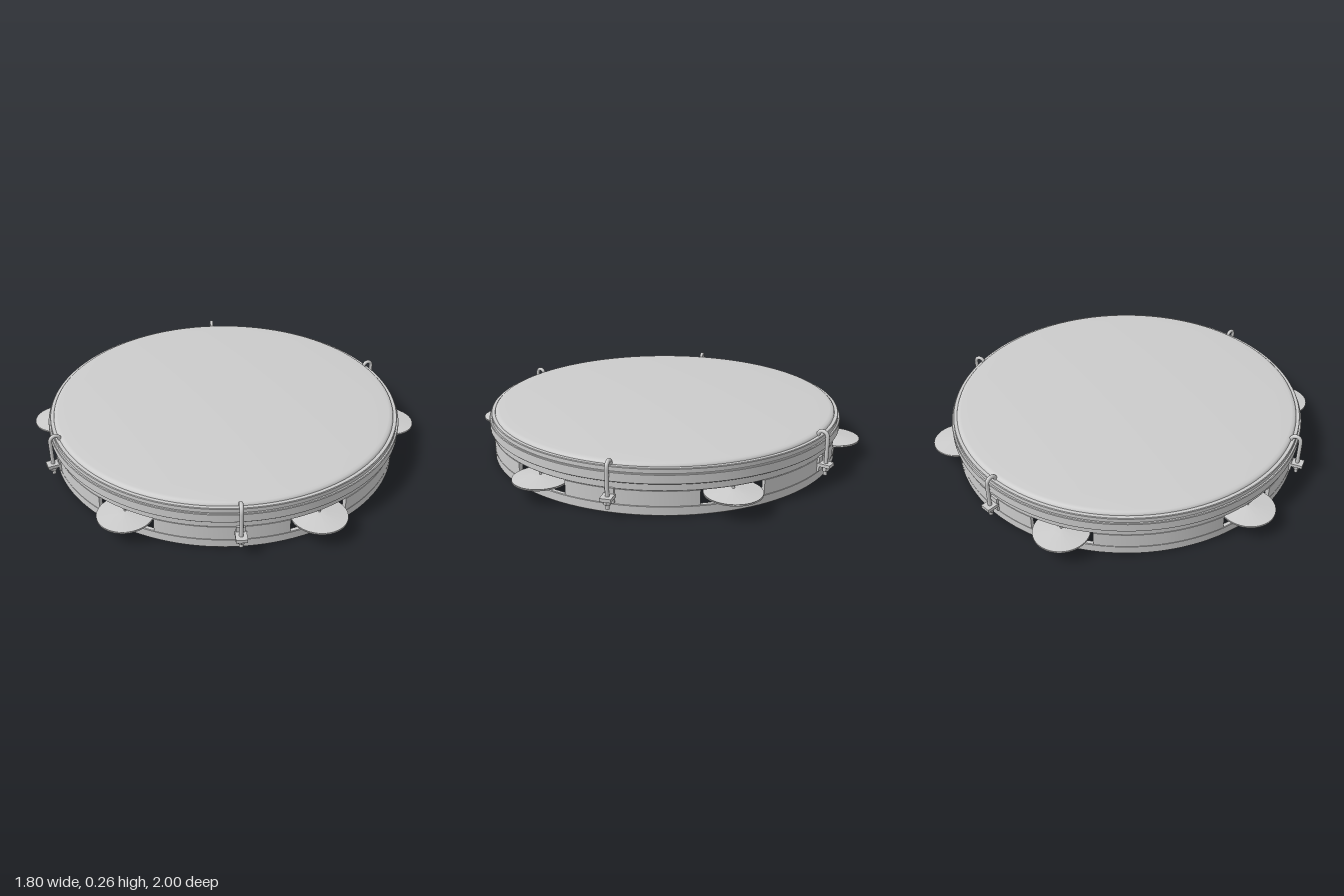
import * as THREE from 'three';
import { toCreasedNormals } from 'three/addons/utils/BufferGeometryUtils.js';

const grey = new THREE.MeshStandardMaterial({ color: 0xcccccc });
const greyDouble = new THREE.MeshStandardMaterial({ color: 0xcccccc, side: THREE.DoubleSide });
const SEGMENTS = 128;
const OUTER = 0.88, INNER = 0.86;
const SLOT_LOW = 0.045, SLOT_HIGH = 0.115, SLOT_HALF_ANGLE = 0.171;
const rad = THREE.MathUtils.degToRad;

function add(parent, name, geometry, x = 0, y = 0, z = 0, material = grey) {
  const mesh = new THREE.Mesh(geometry, material);
  mesh.name = name;
  mesh.position.set(x, y, z);
  parent.add(mesh);
  return mesh;
}

// Revolves [radius, height] pairs, keeping sharp corners
function turned(points, segments = SEGMENTS) {
  const lathe = new THREE.LatheGeometry(points.map(([r, y]) => new THREE.Vector2(r, y)), segments);
  return toCreasedNormals(lathe, 0.5);
}

function ring(inner, outer, low, high) {
  const b = 0.003;
  return turned([
    [inner, low], [outer - b, low], [outer, low + b], [outer, high - b],
    [outer - b, high], [inner, high], [inner, low],
  ]);
}

// Solid curved piece of the shell between two angles measured from +z towards +x
function shellArc(from, to) {
  const shape = new THREE.Shape();
  shape.absarc(0, 0, OUTER, from - Math.PI / 2, to - Math.PI / 2, false);
  shape.absarc(0, 0, INNER, to - Math.PI / 2, from - Math.PI / 2, true);
  const arc = new THREE.ExtrudeGeometry(shape, {
    depth: SLOT_HIGH - SLOT_LOW, bevelEnabled: false, curveSegments: 18,
  });
  arc.rotateX(-Math.PI / 2);
  return toCreasedNormals(arc, 0.5);
}

// A pair of shallow cymbals on a pin, lying in a slot of the shell
function createJingle(angle) {
  const holder = new THREE.Group();
  holder.name = 'jingle';
  holder.rotation.y = angle;
  const cymbal = [[0, 0.002], [0.13, 0.002], [0.13, 0.004], [0.08, 0.011], [0.035, 0.017], [0.012, 0.02], [0, 0.02]];
  const y = 0.083, z = 0.87;
  add(holder, 'upperCymbal', turned(cymbal, 48), 0, y, z);
  add(holder, 'lowerCymbal', turned(cymbal, 48), 0, y, z).rotation.x = Math.PI;
  add(holder, 'jinglePin', new THREE.CylinderGeometry(0.006, 0.006, SLOT_HIGH - SLOT_LOW + 0.01, 12), 0, 0.08, z);
  return holder;
}

// Hooked tension rod with its bracket and nut
function createTensioner(angle) {
  const holder = new THREE.Group();
  holder.name = 'tensioner';
  holder.rotation.y = angle;
  const v = (y, z) => new THREE.Vector3(0, y, z);
  const path = new THREE.CurvePath();
  path.add(new THREE.LineCurve3(v(0.045, 0.914), v(0.215, 0.914)));
  path.add(new THREE.CubicBezierCurve3(v(0.215, 0.914), v(0.254, 0.914), v(0.254, 0.866), v(0.222, 0.866)));
  add(holder, 'hookRod', new THREE.TubeGeometry(path, 40, 0.0095, 12), 0, 0, 0);
  add(holder, 'hookTip', new THREE.SphereGeometry(0.0095, 12, 8), 0, 0.222, 0.866);
  add(holder, 'bracketPlate', new THREE.BoxGeometry(0.042, 0.07, 0.012), 0, 0.086, 0.884);
  add(holder, 'bracketTab', new THREE.BoxGeometry(0.052, 0.016, 0.06), 0, 0.086, 0.914);
  const nut = toCreasedNormals(new THREE.CylinderGeometry(0.017, 0.017, 0.02, 6), 0.5);
  add(holder, 'nut', nut, 0, 0.066, 0.914);
  add(holder, 'rodEnd', new THREE.CylinderGeometry(0.0095, 0.0095, 0.012, 12), 0, 0.041, 0.914);
  return holder;
}

export function createModel() {
  const model = new THREE.Group();
  model.name = 'frameDrum';

  // Wooden shell: two full bands joined by curved posts between the slots
  const shell = new THREE.Group();
  shell.name = 'shell';
  model.add(shell);
  add(shell, 'lowerBand', ring(INNER, OUTER, 0, SLOT_LOW));
  add(shell, 'upperBand', ring(INNER, OUTER, SLOT_HIGH, 0.205));
  const slots = [0, 59.5, 121, 180, 239, 298].map(rad);
  slots.forEach((angle, i) => {
    const next = i + 1 < slots.length ? slots[i + 1] : slots[0] + Math.PI * 2;
    add(shell, 'shellPost', shellArc(angle + SLOT_HALF_ANGLE, next - SLOT_HALF_ANGLE), 0, SLOT_LOW, 0);
    model.add(createJingle(angle));
  });

  // Hoops clamping the skin
  add(model, 'tensionHoop', ring(0.878, 0.897, 0.153, 0.199));
  add(model, 'upperHoop', ring(0.868, 0.887, 0.19, 0.221));

  // Domed skin with a rounded edge
  const skin = [[0.869, 0.2], [0.869, 0.219], [0.866, 0.227], [0.859, 0.233], [0.845, 0.2365]];
  for (let i = 1; i <= 12; i++) {
    const r = 0.845 * (1 - i / 12);
    skin.push([r, 0.26 - 0.0235 * (r / 0.845) ** 2]);
  }
  const skinGeometry = new THREE.LatheGeometry(skin.map(([r, y]) => new THREE.Vector2(r, y)), SEGMENTS);
  add(model, 'drumSkin', skinGeometry, 0, 0, 0, greyDouble);

  // Four tension hooks
  for (const degrees of [35, 145, 215, 325]) model.add(createTensioner(rad(degrees)));

  return model;
}
